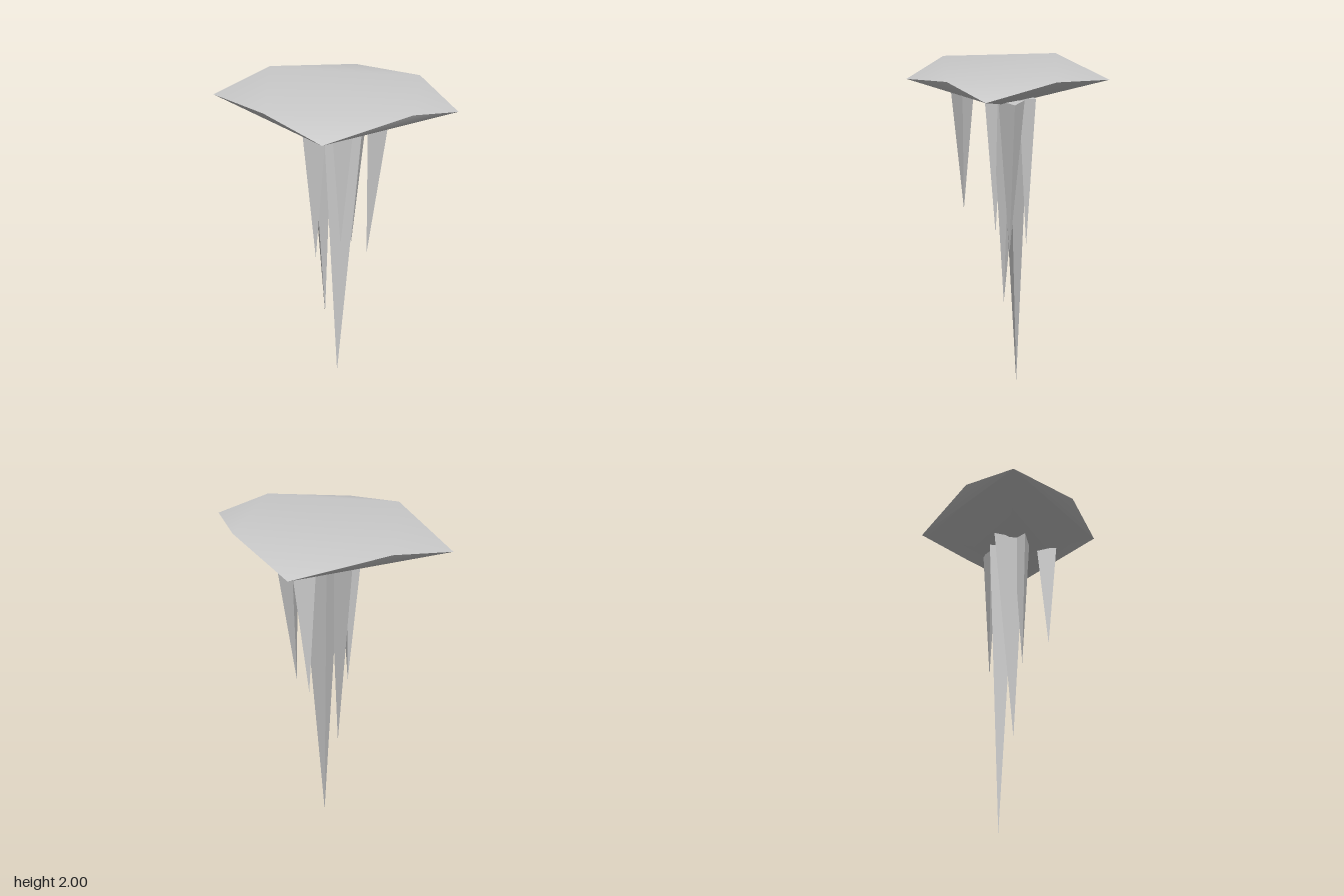
import * as THREE from 'three';
import { toCreasedNormals } from 'three/addons/utils/BufferGeometryUtils.js';

function meshFrom(name, points, faces, flatShading) {
  let geometry = new THREE.BufferGeometry();
  geometry.setAttribute('position', new THREE.Float32BufferAttribute(points.flat(), 3));
  geometry.setIndex(faces.flat());
  geometry = flatShading ? geometry.toNonIndexed() : toCreasedNormals(geometry, 0.75);
  if (flatShading) geometry.computeVertexNormals();
  const mesh = new THREE.Mesh(geometry, new THREE.MeshStandardMaterial({ color: 0xcccccc, flatShading }));
  mesh.name = name;
  return mesh;
}

// Shallow rock slab: raised corners alternate with lower points, over a blunt underside
function createSlab() {
  const points = [
    [-0.66, 1.925, -0.01], [-0.4, 2, -0.28],
    [0.05, 1.935, -0.56], [0.44, 2, -0.26],
    [0.66, 1.945, 0.085], [0.44, 2, 0.29],
    [0.025, 1.93, 0.55], [-0.295, 2, 0.375],
    [0.03, 1.79, 0],
  ];
  const faces = [[1, 7, 5], [1, 5, 3]];
  for (let i = 0; i < 8; i += 2) {
    const corner = i + 1, next = (i + 2) % 8, nextCorner = (i + 3) % 8;
    faces.push([nextCorner, next, corner]); // sloping top edge
    faces.push([i, corner, next]);          // overhanging side
    faces.push([i, next, 8]);               // underside
  }
  return meshFrom('rockSlab', points, faces, false);
}

// Three-sided spike hanging from a triangular base, given as [x, z] corners
function createSpike(name, tip, baseY, base) {
  const [a, b, c] = base;
  const up = (b[1] - a[1]) * (c[0] - a[0]) - (b[0] - a[0]) * (c[1] - a[1]) > 0;
  const ordered = up ? [a, b, c] : [a, c, b];
  const points = [...ordered.map(([x, z]) => [x, baseY, z]), tip];
  const faces = [[0, 1, 2], [1, 0, 3], [2, 1, 3], [0, 2, 3]];
  return meshFrom(name, points, faces, true);
}

export function createModel() {
  const group = new THREE.Group();
  group.name = 'hangingSpikes';
  group.add(createSlab());

  const spikes = [
    ['longSpike', [0.015, 0, -0.06], 1.86, [[0.16, -0.02], [-0.05, 0.04], [-0.02, -0.125]]],
    ['middleSpike', [-0.05, 0.53, 0.02], 1.83, [[-0.155, -0.1], [-0.01, -0.02], [-0.1, 0.09]]],
    ['frontSpike', [0.075, 1.19, 0.245], 1.86, [[0.135, 0.235], [0.04, 0.305], [0.05, 0.18]]],
    ['backSpike', [0.09, 0.97, -0.115], 1.855, [[0.17, -0.16], [0.157, -0.07], [0.035, -0.12]]],
    ['leftSpike', [0.195, 0.97, -0.02], 1.85, [[0.3, -0.05], [0.18, -0.1], [0.19, 0.04]]],
    ['rightSpike', [-0.095, 0.97, 0.07], 1.83, [[-0.16, 0.09], [-0.02, 0.125], [-0.09, 0.02]]],
  ];
  for (const spike of spikes) group.add(createSpike(...spike));
  return group;
}
